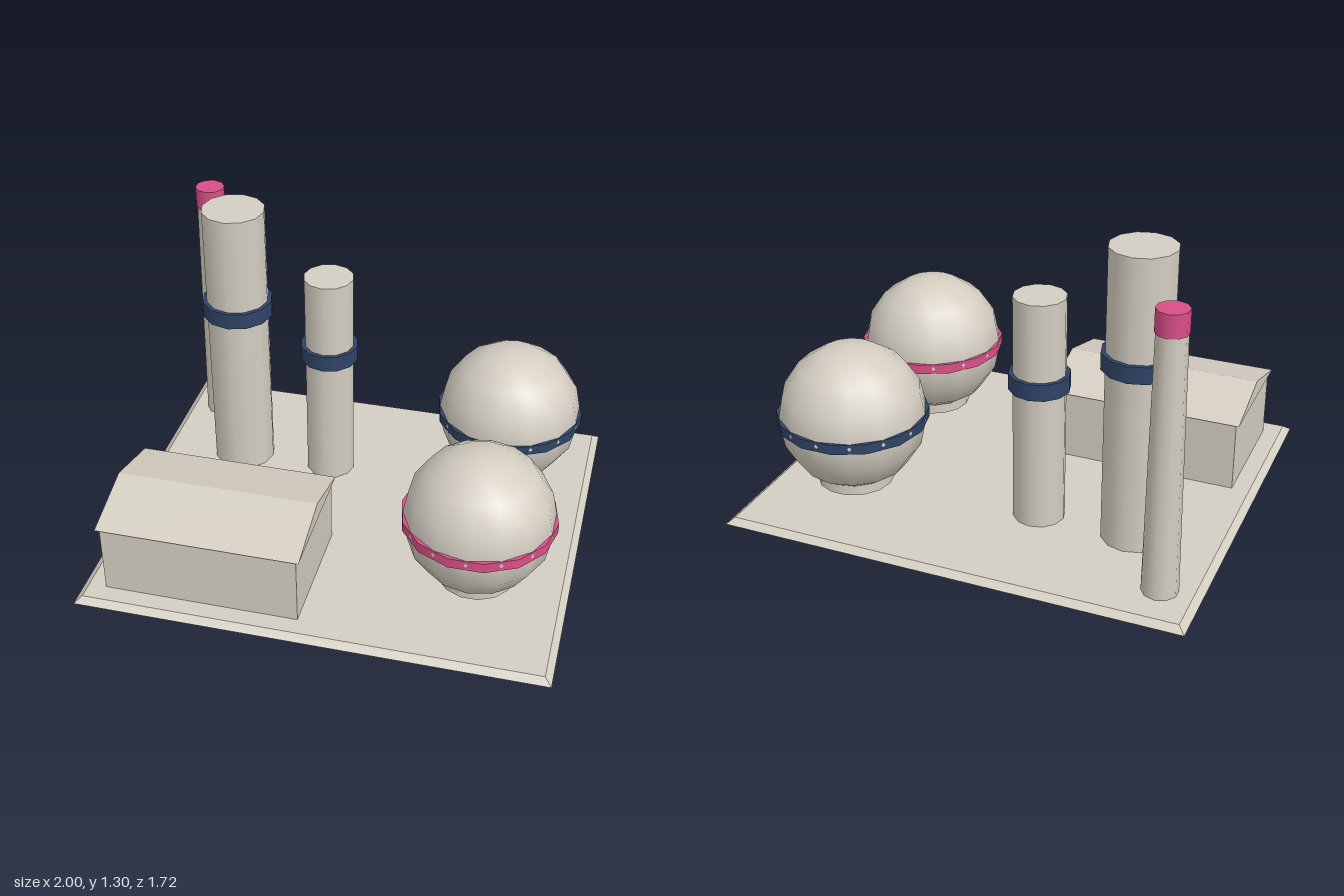
import * as THREE from 'three';

export function createModel() {
  const model = new THREE.Group();
  model.name = 'industrialPlant';

  const material = (name, color) => {
    const m = new THREE.MeshStandardMaterial({ color });
    m.name = name;
    return m;
  };
  const cream = material('cream', 0xd4cec2);
  const navy = material('navy', 0x2f4468);
  const pink = material('pink', 0xd94f88);

  const add = (parent, name, geometry, mat, x = 0, y = 0, z = 0) => {
    const mesh = new THREE.Mesh(geometry, mat);
    mesh.name = name;
    mesh.position.set(x, y, z);
    parent.add(mesh);
    return mesh;
  };
  const group = (name, x, z) => {
    const g = new THREE.Group();
    g.name = name;
    g.position.set(x, 0, z);
    model.add(g);
    return g;
  };
  // Upright cylinder between two heights
  const drum = (parent, name, mat, y0, y1, rBottom, rTop, sides) =>
    add(parent, name, new THREE.CylinderGeometry(rTop, rBottom, y1 - y0, sides), mat, 0, (y0 + y1) / 2, 0);

  // Ground plate with bevelled rim
  const plate = new THREE.BoxGeometry(2, 0.024, 1.715);
  const p = plate.attributes.position;
  for (let i = 0; i < p.count; i++) {
    if (p.getY(i) > 0) {
      p.setX(i, p.getX(i) - Math.sign(p.getX(i)) * 0.03);
      p.setZ(i, p.getZ(i) - Math.sign(p.getZ(i)) * 0.03);
    }
  }
  plate.computeVertexNormals();
  add(model, 'groundPlate', plate, cream, 0, 0.013, 0);

  // Hall with gabled roof
  const hall = group('hall', -0.477, 0.473);
  add(hall, 'hallWalls', new THREE.BoxGeometry(0.836, 0.338, 0.555), cream, 0, 0.169, 0);
  const gable = new THREE.Shape([
    new THREE.Vector2(-0.292, 0),
    new THREE.Vector2(0.292, 0),
    new THREE.Vector2(0, 0.08),
  ]);
  const roof = new THREE.ExtrudeGeometry(gable, { depth: 0.866, bevelEnabled: false });
  roof.translate(0, 0, -0.433).rotateY(Math.PI / 2);
  add(hall, 'hallRoof', roof, cream, 0, 0.338, 0);

  // Banded column towers
  const towers = [
    { name: 'tallTower', x: -0.615, r: 0.138, h: 1.305, band: [0.795, 0.868] },
    { name: 'shortTower', x: -0.196, r: 0.11, h: 1.03, band: [0.623, 0.695] },
  ];
  for (const t of towers) {
    const tower = group(t.name, t.x, -0.31);
    drum(tower, 'towerColumn', cream, 0, t.h, t.r, t.r, 12);
    drum(tower, 'towerBand', navy, ...t.band, t.r + 0.018, t.r + 0.018, 12);
  }

  // Tapered chimney with coloured tip
  const chimney = group('chimney', -0.835, -0.642);
  drum(chimney, 'chimneyStack', cream, 0, 1.13, 0.075, 0.061, 10);
  drum(chimney, 'chimneyTip', pink, 1.13, 1.225, 0.065, 0.065, 10);

  // Spherical storage tanks
  for (const [name, z, bandMat] of [['frontTank', 0.362, pink], ['backTank', -0.42, navy]]) {
    const tank = group(name, 0.61, z);
    tank.rotation.y = Math.PI / 2;
    add(tank, 'tankSphere', new THREE.SphereGeometry(0.317, 14, 8), cream, 0, 0.394, 0);
    drum(tank, 'tankBand', bandMat, 0.371, 0.415, 0.323, 0.323, 14);
    drum(tank, 'tankFoot', cream, 0.085, 0.15, 0.164, 0.164, 14);
  }

  return model;
}
